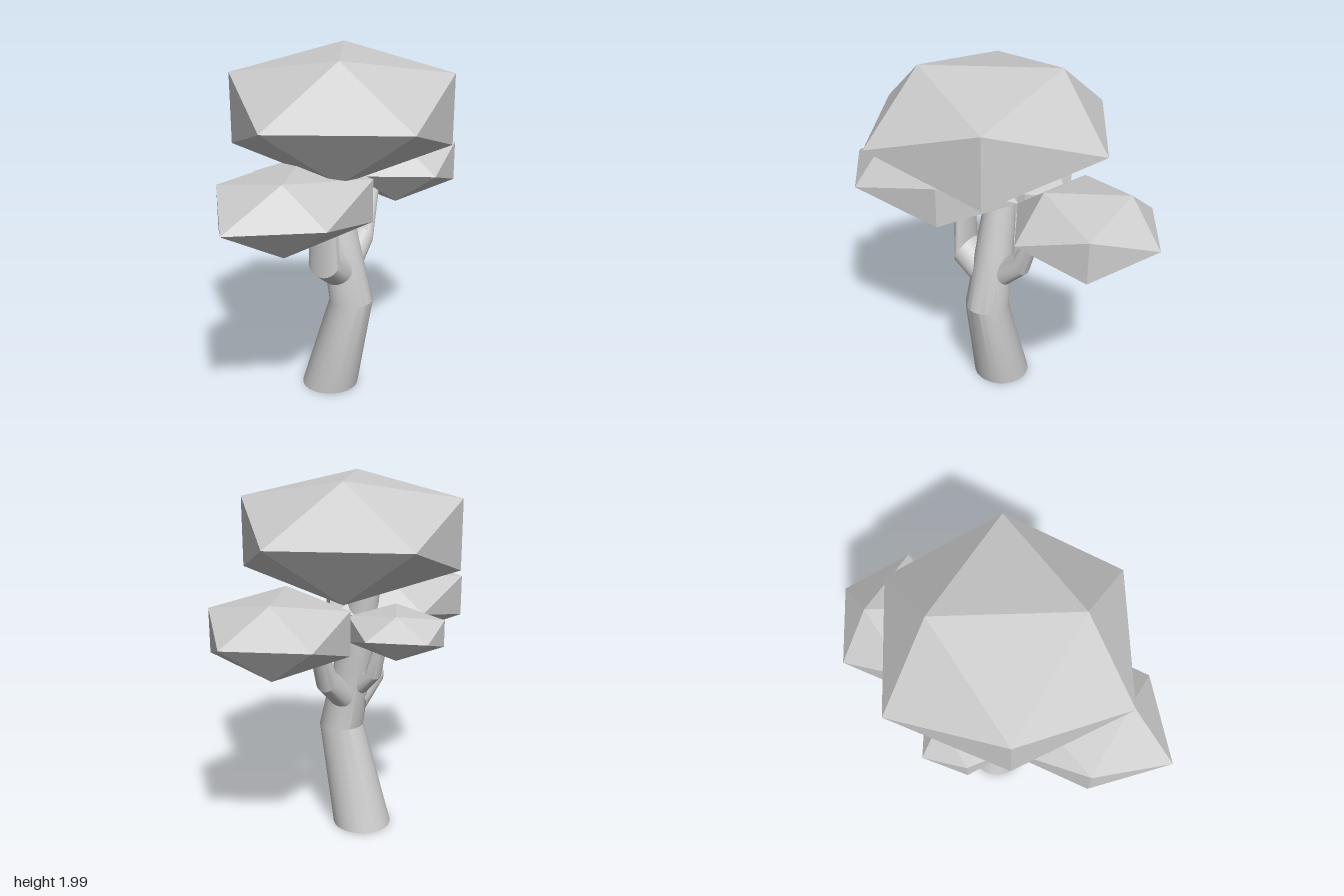
import * as THREE from 'three';
import { toCreasedNormals } from 'three/addons/utils/BufferGeometryUtils.js';

const material = new THREE.MeshStandardMaterial({ color: 0xcccccc });
const leafMaterial = new THREE.MeshStandardMaterial({ color: 0xcccccc, flatShading: true });
const SIDES = 24;

// Skin elliptical rings lying along a path in the local xy plane.
// Each ring: [x, y, ux, uy, side] = centre, in-plane half axis, half width in z.
function woodGeometry(rings) {
  const positions = [], index = [];
  for (const [x, y, ux, uy, side] of rings) {
    for (let i = 0; i < SIDES; i++) {
      const a = (i / SIDES) * Math.PI * 2;
      positions.push(x + ux * Math.cos(a), y + uy * Math.cos(a), -side * Math.sin(a));
    }
  }
  for (let r = 0; r < rings.length - 1; r++) {
    for (let i = 0; i < SIDES; i++) {
      const j = (i + 1) % SIDES;
      const a = r * SIDES + i, b = r * SIDES + j;
      index.push(a, b, b + SIDES, a, b + SIDES, a + SIDES);
    }
  }
  // end caps
  const last = (rings.length - 1) * SIDES;
  for (let i = 1; i < SIDES - 1; i++) {
    index.push(0, i + 1, i, last, last + i, last + i + 1);
  }
  const geometry = new THREE.BufferGeometry();
  geometry.setAttribute('position', new THREE.Float32BufferAttribute(positions, 3));
  geometry.setIndex(index);
  return toCreasedNormals(geometry, 0.42);
}

function wood(name, rings, turn = 0) {
  const mesh = new THREE.Mesh(woodGeometry(rings), material);
  mesh.name = name;
  mesh.rotation.y = turn;
  return mesh;
}

// Faceted leaf clump: a turned icosahedron, squashed along the axes
function foliage(name, position, scale) {
  const geometry = new THREE.IcosahedronGeometry(1, 0).rotateY(-1.0172);
  const mesh = new THREE.Mesh(geometry, leafMaterial);
  mesh.name = name;
  mesh.position.set(...position);
  mesh.scale.set(...scale);
  return mesh;
}

export function createModel() {
  const tree = new THREE.Group();
  tree.name = 'tree';

  // Bent, tapering trunk
  tree.add(wood('trunk', [
    [-0.095, 0, 0.165, 0, 0.165],
    [0.055, 0.58, 0.125, 0, 0.125],
    [-0.025, 0.94, 0.11, 0, 0.105],
    [-0.11, 1.4, 0.085, 0, 0.075],
  ]));

  // Branches leave the trunk sideways, then turn up at an elbow
  tree.add(wood('frontBranch', [
    [0.02, 0.74, 0.035, -0.09, 0.105],
    [0.19, 0.86, 0.04, -0.08, 0.1],
    [0.19, 1.17, 0.04, 0, 0.08],
  ], -Math.PI / 2));
  tree.add(wood('backBranch', [
    [0.04, 0.76, 0.045, -0.06, 0.08],
    [0.2, 0.9, 0.033, -0.058, 0.07],
    [0.305, 1.2, 0.034, -0.008, 0.045],
  ], Math.PI / 2));
  tree.add(wood('rightBranch', [
    [0.04, 0.81, 0.035, -0.05, 0.065],
    [0.168, 0.92, 0.036, -0.022, 0.055],
    [0.235, 1.16, 0.028, -0.006, 0.038],
  ], Math.PI));

  // Leaf clumps
  tree.add(foliage('topFoliage', [0, 1.68, 0.015], [0.7, 0.364, 0.7]));
  tree.add(foliage('frontFoliage', [-0.01, 1.26, 0.42], [0.418, 0.22, 0.58]));
  tree.add(foliage('backFoliage', [-0.01, 1.26, -0.58], [0.418, 0.22, 0.42]));
  tree.add(foliage('rightFoliage', [-0.33, 1.195, -0.02], [0.31, 0.137, 0.27]));

  return tree;
}
